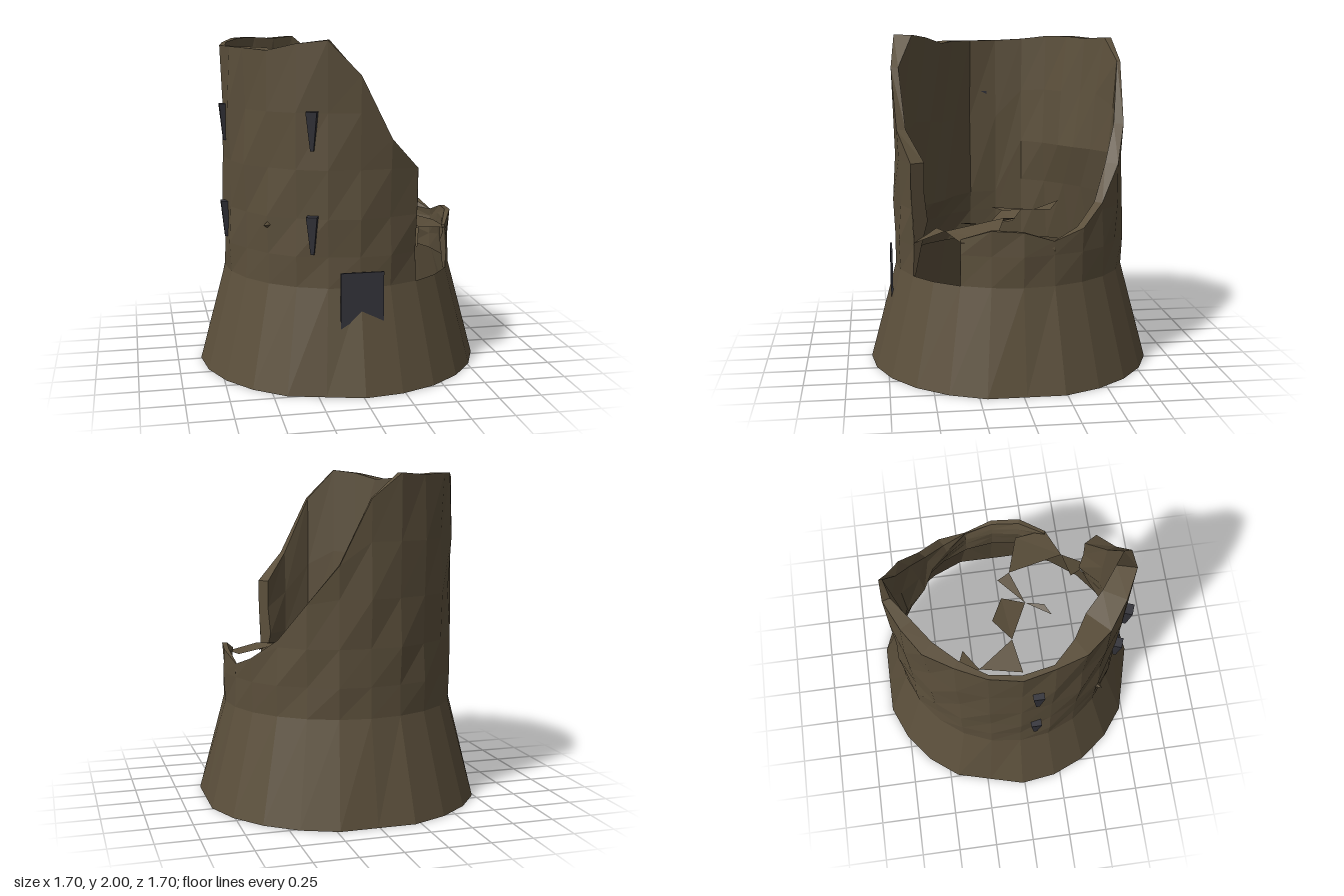
import * as THREE from 'three';

const SIDES = 24;
const CX = 0.01, CZ = -0.016;
// broken rim height at each 15 degree step, starting at the front and going to +x
const RIM = [1.81, 1.45, 1.27, 0.6, 0.87, 0.93, 0.92, 0.86, 0.92, 1.04, 1.25, 1.47,
  1.84, 1.98, 1.97, 1.98, 1.98, 1.96, 1.95, 1.95, 1.95, 1.94, 1.98, 2.0];
// inner wall radius at its ledge and at the rim
const INNER_LOW = [0.67, 0.66, 0.6, 0.6, 0.67, 0.65, 0.66, 0.69, 0.63, 0.59, 0.56, 0.63,
  0.63, 0.57, 0.53, 0.54, 0.6, 0.67, 0.68, 0.67, 0.59, 0.52, 0.52, 0.57];
const INNER_TOP = [0.67, 0.66, 0.62, 0.6, 0.68, 0.68, 0.68, 0.69, 0.66, 0.64, 0.63, 0.65,
  0.68, 0.66, 0.62, 0.63, 0.65, 0.68, 0.68, 0.67, 0.6, 0.54, 0.56, 0.6];
// corners merged into a longer straight side at the foot
const MERGED = [6, 12, 17, 23];
// the wall stops at the base between these corners
const isGap = (i) => i === 2 || i === 3;

const stone = new THREE.MeshStandardMaterial({ color: 0x5b4f3b, flatShading: true, side: THREE.DoubleSide });
const dark = new THREE.MeshStandardMaterial({ color: 0x33333a, flatShading: true, side: THREE.DoubleSide });

const at = (i, r, y) => {
  const a = ((i % SIDES) / SIDES) * Math.PI * 2;
  return new THREE.Vector3(Math.sin(a) * r + CX, y, Math.cos(a) * r + CZ);
};

// uneven masonry face above the base
const outer = (i, y) => {
  const k = i % SIDES;
  const wobble = y > 0.61 ? 0.01 * Math.sin(k * 2.4 + y * 8) : 0;
  return at(k, 0.706 + wobble, y);
};

// the inner face juts out to a ledge, higher up along the back
const ledge = (k) => Math.min(k >= 12 && k <= 17 ? 1.27 : 0.92, RIM[k] - 0.1);
const inner = (i, row) => {
  const k = i % SIDES;
  const low = INNER_LOW[k], top = INNER_TOP[k], y = ledge(k);
  const profile = [
    [0.69, 0.6],
    [THREE.MathUtils.lerp(0.69, low, 0.55), THREE.MathUtils.lerp(0.6, y, 0.6)],
    [low, y],
    [(low + top) / 2 + 0.015 * Math.sin(k * 3.7), (y + RIM[k]) / 2],
    [top, RIM[k]],
  ];
  return at(k, ...profile[row]);
};

function meshFrom(name, triangles, material) {
  const geo = new THREE.BufferGeometry().setFromPoints(triangles);
  geo.computeVertexNormals();
  const mesh = new THREE.Mesh(geo, material);
  mesh.name = name;
  return mesh;
}

// adds a quad as two triangles, leaving out collapsed ones
function quad(out, a, b, c, d) {
  for (const [p, q, r] of [[a, b, c], [a, c, d]]) {
    if (new THREE.Triangle(p, q, r).getArea() > 1e-6) out.push(p, q, r);
  }
}

export function createModel() {
  const group = new THREE.Group();
  group.name = 'ruinedTower';

  // flared foot
  const base = [];
  const foot = (i) => at(i, 0.867 * (MERGED.includes(i % SIDES) ? 0.966 : 1), 0);
  for (let i = 0; i < SIDES; i++) quad(base, foot(i), foot(i + 1), outer(i + 1, 0.6), outer(i, 0.6));
  group.add(meshFrom('flaredBase', base, stone));

  // outer wall, inner wall and broken rim
  const outside = [], inside = [], rim = [];
  const rows = [0.6, 0.78, 1.0, 1.28, 1.6, 3];
  for (let i = 0; i < SIDES; i++) {
    if (isGap(i)) continue;
    const j = i + 1;
    const ha = RIM[i], hb = RIM[j % SIDES];
    for (let k = 0; k + 1 < rows.length; k++) {
      quad(outside, outer(i, Math.min(rows[k], ha)), outer(j, Math.min(rows[k], hb)),
        outer(j, Math.min(rows[k + 1], hb)), outer(i, Math.min(rows[k + 1], ha)));
    }
    for (let k = 0; k < 4; k++) quad(inside, inner(j, k), inner(i, k), inner(i, k + 1), inner(j, k + 1));
    quad(rim, outer(i, ha), outer(j, hb), inner(j, 4), inner(i, 4));
  }
  // wall ends beside the breach
  for (const i of [2, 4]) {
    for (let k = 0; k < 4; k++) {
      const [lower, upper] = [inner(i, k), inner(i, k + 1)];
      quad(rim, outer(i, lower.y), outer(i, upper.y), upper, lower);
    }
  }
  group.add(meshFrom('outerWall', outside, stone));
  group.add(meshFrom('innerWall', inside, stone));
  group.add(meshFrom('brokenRim', rim, stone));

  // remains of the upper floor: a ragged chain of slabs
  const p = [
    [-0.36, 0.9, -0.4], [-0.14, 0.88, -0.31], [-0.27, 0.86, -0.22], [-0.33, 0.87, 0.05],
    [-0.11, 0.89, 0.01], [0.02, 0.92, -0.1], [0.18, 0.88, -0.02], [0.14, 0.85, 0.13],
    [0.04, 0.84, 0.29], [0.11, 0.86, 0.25], [0.29, 0.92, -0.03], [0.33, 0.93, 0.05],
    [0.6, 0.86, 0.13], [0.63, 0.85, 0.33], [0.43, 0.88, 0.41], [0.28, 0.87, 0.45], [0.37, 0.8, 0.59],
  ].map((c) => new THREE.Vector3(...c));
  const faces = [[0, 2, 1], [2, 3, 4], [4, 6, 5], [4, 7, 6], [7, 8, 9], [7, 11, 10],
    [11, 14, 12], [14, 13, 12], [14, 15, 16]];
  group.add(meshFrom('brokenFloor', faces.flat().map((i) => p[i]), stone));

  // loose stone jutting from the wall
  const spur = new THREE.Mesh(new THREE.ConeGeometry(0.07, 0.14, 4), stone);
  spur.name = 'juttingStone';
  spur.position.copy(at(21, 0.68, 0.95));
  spur.rotation.set(Math.PI / 2, -Math.PI / 4, 0, 'YXZ');
  group.add(spur);

  // narrow tapered windows, two on the front and two on the side
  for (const y of [0.91, 1.5]) {
    for (const [x, z, turn] of [[-0.26, 0.65, -0.35], [-0.69, 0.075, -Math.PI / 2]]) {
      const geo = new THREE.CylinderGeometry(0.045, 0.014, 0.22, 4, 1);
      geo.rotateY(Math.PI / 4);
      const slit = new THREE.Mesh(geo, dark);
      slit.name = 'slitWindow';
      slit.position.set(x, y, z);
      slit.rotation.y = turn;
      group.add(slit);
    }
  }

  // upright door plate, its foot sunk through the sloping base
  const door = new THREE.Mesh(new THREE.BoxGeometry(0.25, 0.43, 0.012), dark);
  door.name = 'door';
  door.position.set(0.015, 0.485, 0.718);
  group.add(door);

  return group;
}
